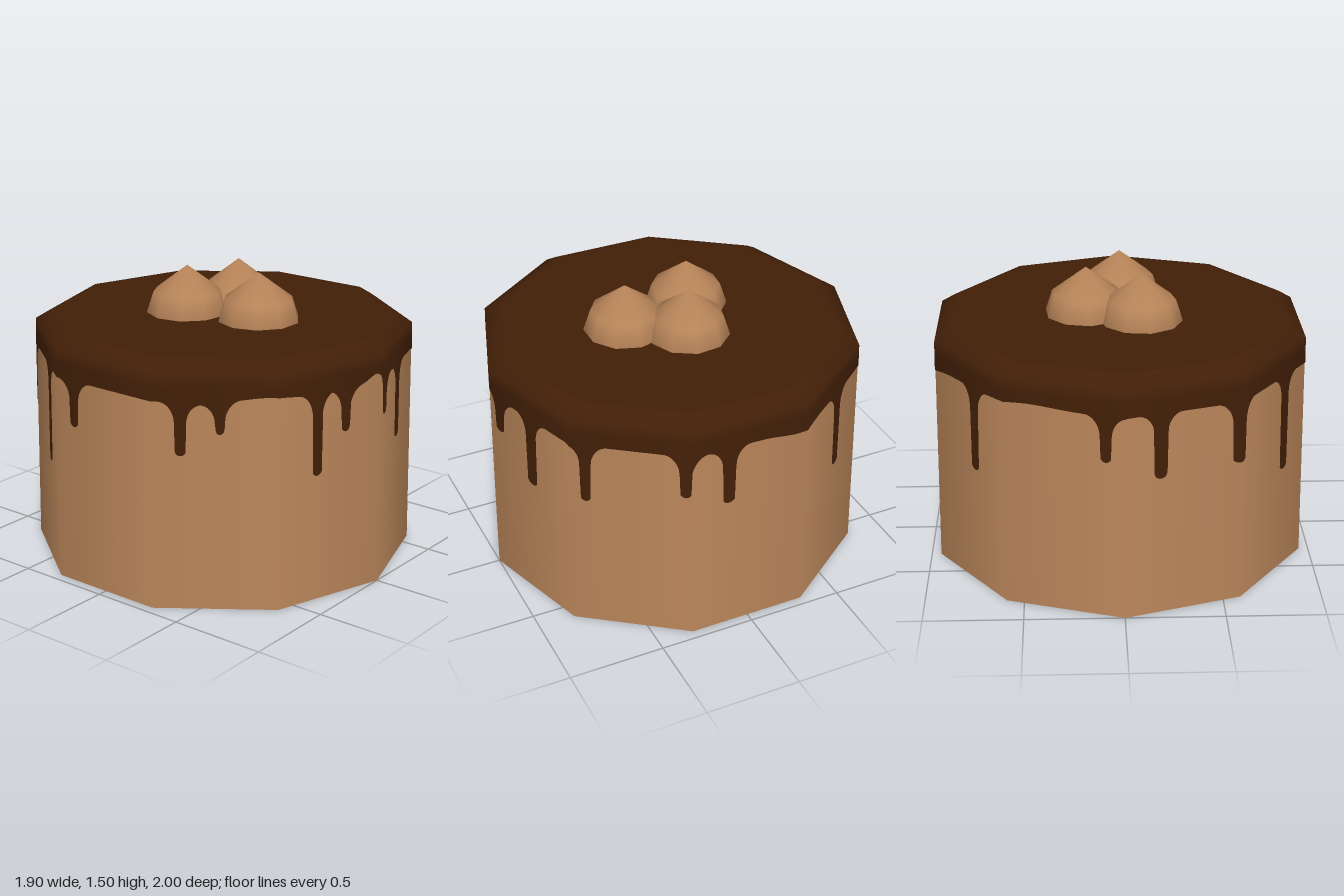
import * as THREE from 'three';

const SIDES = 10;
const STEP = (Math.PI * 2) / SIDES;

// Drips around the wall: [angle in degrees from the front, lowest height, half width in degrees]
const DRIPS = [
  [-64, 0.795, 1.7], [-52.6, 0.905, 1.4], [-22.9, 0.655, 1.8], [-12.6, 0.85, 1.6],
  [4.3, 0.875, 1.9], [18.9, 0.675, 2.3], [40.4, 0.745, 1.6], [69.7, 0.83, 1.7],
  [82.9, 0.75, 2.1], [129.1, 0.63, 2.1], [174.5, 0.83, 1.7], [190.5, 0.73, 2],
  [215, 0.75, 2.2], [240, 0.555, 2.2], [258.5, 0.83, 1.6],
];
// Gentle rises and dips of the icing edge: [angle, change, spread]
const SWELLS = [[-38, 0.025, 9], [-1, 0.045, 4], [105, -0.02, 7], [150, 0.02, 12], [-58, -0.015, 4]];
const SHOULDER = 4.8;

const wallRadius = (y) => 1 - 0.014 * y;
const angleGap = (a, b) => Math.abs(((a - b + 900) % 360) - 180);

// Height of the lower icing edge at an angle
function icingEdge(deg) {
  let crest = 1.067;
  for (const [centre, rise, spread] of SWELLS) {
    crest += rise * Math.exp(-((angleGap(deg, centre) / spread) ** 2));
  }
  let edge = crest;
  for (const [centre, bottom, half] of DRIPS) {
    const d = angleGap(deg, centre);
    if (d <= half) {
      // rounded tip
      edge = Math.min(edge, bottom + 0.032 * (1 - Math.sqrt(1 - (d / half) ** 2)));
    } else if (d < half + SHOULDER) {
      // curved shoulder beside the drip
      const t = 1 - (d - half) / SHOULDER;
      edge = Math.min(edge, crest - 0.11 * (1 - Math.sqrt(1 - t * t)));
    }
  }
  return edge;
}

// Thin icing skin that follows the ten flat sides
function dripGeometry(top) {
  const positions = [], normals = [], index = [];
  const columns = 1440;
  for (let i = 0; i <= columns; i++) {
    const a = (i / columns) * Math.PI * 2;
    const local = (a % STEP) - STEP / 2;
    const flat = Math.cos(STEP / 2) / Math.cos(local);
    for (const y of [top, icingEdge((i * 360) / columns)]) {
      const r = (wallRadius(y) + 0.003) * flat;
      positions.push(r * Math.sin(a), y, r * Math.cos(a));
      normals.push(Math.sin(a), 0.014, Math.cos(a));
    }
    if (i < columns) {
      const k = i * 2;
      index.push(k, k + 1, k + 2, k + 1, k + 3, k + 2);
    }
  }
  const g = new THREE.BufferGeometry();
  g.setAttribute('position', new THREE.Float32BufferAttribute(positions, 3));
  g.setAttribute('normal', new THREE.Float32BufferAttribute(normals, 3));
  g.setIndex(index);
  return g;
}

const turned = (points) =>
  new THREE.LatheGeometry(points.map(([r, y]) => new THREE.Vector2(r, y)), SIDES);

// Pointed dollop with the soft shading of a ball
function dollopGeometry() {
  const g = turned([[0.212, 1.235], [0.212, 1.26], [0.178, 1.365], [0, 1.5]]);
  const p = g.attributes.position;
  const n = new THREE.Vector3();
  for (let i = 0; i < p.count; i++) {
    n.set(p.getX(i), p.getY(i) - 1.25, p.getZ(i)).normalize();
    g.attributes.normal.setXYZ(i, n.x, n.y, n.z);
  }
  return g;
}

export function createModel() {
  const group = new THREE.Group();
  group.name = 'dripCake';

  const sponge = new THREE.MeshStandardMaterial({ color: 0xba865a });
  sponge.name = 'caramel cream';
  const chocolate = new THREE.MeshStandardMaterial({ color: 0x421f07 });
  chocolate.name = 'chocolate icing';

  const add = (name, geometry, material) => {
    const mesh = new THREE.Mesh(geometry, material);
    mesh.name = name;
    group.add(mesh);
    return mesh;
  };

  // Cake wall
  add('cakeWall', turned([[1, 0], [wallRadius(1.18), 1.18]]), sponge);

  // Icing: bevelled top and the dripping skin
  const joint = 1.14;
  add('icingTop', turned([
    [wallRadius(joint) + 0.003, joint], [0.985, 1.205], [0.905, 1.253], [0.87, 1.253], [0, 1.253],
  ]), chocolate);
  add('icingDrips', dripGeometry(joint), chocolate);

  // Flat chocolate base
  add('base', turned([[0, 0], [1, 0]]), chocolate);

  // Three cream dollops on top
  const dollop = dollopGeometry();
  [[-0.11, -0.15, 0.2], [0.17, -0.03, 0.1], [-0.01, 0.24, 0.3]].forEach(([x, z, turn], i) => {
    const mesh = add(`creamDollop${i + 1}`, dollop, sponge);
    mesh.position.set(x, 0, z);
    mesh.rotation.y = turn;
  });

  return group;
}
